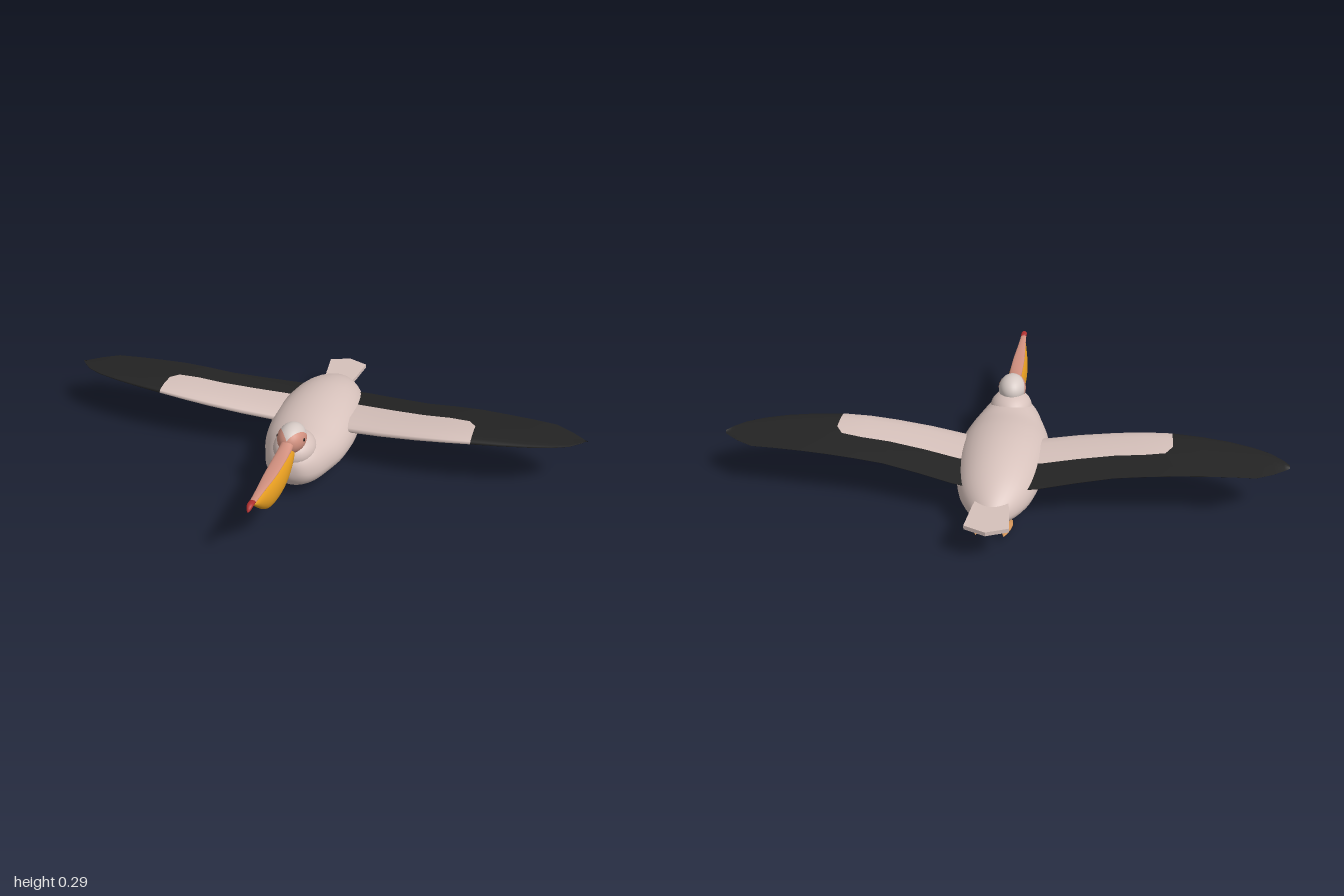
import * as THREE from 'three';

const mat = (name, color, side = THREE.FrontSide) => {
  const m = new THREE.MeshStandardMaterial({ color, side });
  m.name = name;
  return m;
};

function buildGeometry(points, ...indexSets) {
  const g = new THREE.BufferGeometry();
  g.setAttribute('position', new THREE.Float32BufferAttribute(points, 3));
  g.setIndex(indexSets.flat());
  let start = 0;
  indexSets.forEach((set, i) => {
    g.addGroup(start, set.length, i);
    start += set.length;
  });
  g.computeVertexNormals();
  return g;
}

// Smooth loft through rows of [z, bottom, top, halfWidth], running from front to back
function loft(rows, { sides = 24, steps = 24, middle = 0.5 } = {}) {
  const heights = new THREE.CatmullRomCurve3(rows.map(r => new THREE.Vector3(r[0], r[1], r[2])), false, 'catmullrom');
  const widths = new THREE.CatmullRomCurve3(rows.map(r => new THREE.Vector3(r[3], 0, 0)), false, 'catmullrom');
  const points = [], index = [];
  for (let i = 0; i <= steps; i++) {
    const { x: z, y: bottom, z: top } = heights.getPoint(i / steps);
    const w = Math.max(widths.getPoint(i / steps).x, 0.0005);
    const mid = bottom + (top - bottom) * middle;
    for (let j = 0; j < sides; j++) {
      const a = (j / sides) * Math.PI * 2, s = Math.sin(a);
      points.push(w * Math.cos(a), mid + s * (s > 0 ? top - mid : mid - bottom), z);
      if (i === steps) continue;
      const k = (j + 1) % sides, p = i * sides, q = p + sides;
      index.push(p + j, q + j, p + k, p + k, q + j, q + k);
    }
  }
  // end caps
  for (let j = 1; j < sides - 1; j++) {
    const e = steps * sides;
    index.push(0, j, j + 1, e, e + j + 1, e + j);
  }
  return buildGeometry(points, index);
}

// Wing: airfoil sections along x, pale front panel (group 0) and dark feathers (group 1)
function wingGeometry(side) {
  // x, leading z, trailing z, height, thickness
  const stations = [
    [0.05, -0.065, -0.375, 0.146, 0.05], [0.15, -0.06, -0.362, 0.154, 0.048],
    [0.27, -0.045, -0.335, 0.168, 0.045], [0.4, -0.037, -0.31, 0.182, 0.041],
    [0.5, -0.036, -0.305, 0.192, 0.037], [0.6, -0.042, -0.3, 0.199, 0.032],
    [0.7, -0.055, -0.292, 0.201, 0.024], [0.8, -0.075, -0.285, 0.201, 0.016],
    [0.88, -0.1, -0.279, 0.199, 0.011], [0.94, -0.13, -0.247, 0.197, 0.007],
    [0.98, -0.168, -0.217, 0.196, 0.004], [1, -0.195, -0.2, 0.195, 0.001],
  ];
  // chord fraction, relative half thickness
  const upper = [[1, 0.04], [0.8, 0.35], [0.58, 0.7], [0.4, 0.92], [0.2, 1], [0.08, 0.72], [0.02, 0.38]];
  const ring = [...upper, [0, 0], ...upper.map(([f, t]) => [f, -t]).reverse()];
  const n = ring.length, edge = 2, panelEnd = 5;
  const points = [], pale = [], dark = [];
  stations.forEach(([x, lead, trail, y, thick], i) => {
    ring.forEach(([f, t], j) => {
      const corner = i === panelEnd && f === 0.58; // clipped panel corner
      const c = corner ? 0.54 : f;
      points.push(side * (corner ? x - 0.025 : x), y - 0.01 * c + t * thick / 2, lead + (trail - lead) * c);
      if (i === stations.length - 1) return;
      const k = (j + 1) % n, p = i * n, q = p + n;
      const set = i < panelEnd && j >= edge && j < n - 1 - edge ? pale : dark;
      const quad = [p + j, p + k, q + j, p + k, q + k, q + j];
      set.push(...(side > 0 ? quad : quad.reverse()));
    });
  });
  return buildGeometry(points, pale, dark);
}

export function createModel() {
  const group = new THREE.Group();
  const plumage = mat('pale plumage', 0xd6c1bb);
  const crown = mat('crown plumage', 0xd6cac5);
  const black = mat('flight feather black', 0x232323);
  const pink = mat('bill pink', 0xd1907f);
  const yellow = mat('pouch yellow', 0xe49c20);
  const red = mat('bill tip red', 0xb03030);
  const orange = mat('foot orange', 0xd9995c);
  const eyeBlack = mat('eye black', 0x151010);

  const add = (name, geometry, material) => {
    const mesh = new THREE.Mesh(geometry, material);
    mesh.name = name;
    group.add(mesh);
    return mesh;
  };
  const ellipsoid = (name, material, pos, radii) => {
    const mesh = add(name, new THREE.SphereGeometry(1, 28, 20), material);
    mesh.position.set(...pos);
    mesh.scale.set(...radii);
    return mesh;
  };

  // Body and folded neck
  add('body', loft([
    [0.222, 0.115, 0.135, 0.002], [0.213, 0.083, 0.165, 0.045], [0.19, 0.052, 0.19, 0.077],
    [0.15, 0.034, 0.208, 0.105], [0.09, 0.026, 0.212, 0.127], [0.02, 0.024, 0.212, 0.15],
    [-0.08, 0.021, 0.225, 0.163], [-0.18, 0.02, 0.23, 0.16], [-0.28, 0.023, 0.221, 0.146],
    [-0.37, 0.031, 0.197, 0.123], [-0.44, 0.047, 0.165, 0.085], [-0.485, 0.068, 0.133, 0.043],
    [-0.5, 0.094, 0.106, 0.002],
  ], { sides: 36, steps: 60, middle: 0.42 }), plumage);
  ellipsoid('neck', plumage, [0, 0.175, 0.128], [0.078, 0.062, 0.088]);

  // Head, bare face patches and eyes
  const headPos = [0, 0.236, 0.16], headSize = [0.05, 0.052, 0.066];
  ellipsoid('head', crown, headPos, headSize);
  for (const side of [1, -1]) {
    const pole = new THREE.Vector3(side * 0.75, -0.2, 0.64).normalize();
    const cap = new THREE.SphereGeometry(1.03, 28, 10, 0, Math.PI * 2, 0, 1.03);
    cap.applyQuaternion(new THREE.Quaternion().setFromUnitVectors(new THREE.Vector3(0, 1, 0), pole));
    cap.scale(...headSize);
    add('facePatch', cap, pink).position.set(...headPos);
    ellipsoid('eye', eyeBlack, [side * 0.0485, 0.244, 0.176], [0.004, 0.006, 0.006]);
  }

  // Bill with hooked tip and throat pouch
  add('upperBill', loft([
    [0.59, 0.24, 0.25, 0.01], [0.5, 0.234, 0.245, 0.015], [0.4, 0.228, 0.24, 0.022],
    [0.3, 0.225, 0.24, 0.024], [0.24, 0.221, 0.249, 0.024], [0.2, 0.218, 0.264, 0.024],
  ], { sides: 16 }), pink);
  add('billTip', loft([
    [0.62, 0.234, 0.238, 0.002], [0.613, 0.233, 0.248, 0.007],
    [0.598, 0.239, 0.256, 0.011], [0.573, 0.24, 0.252, 0.011],
  ], { sides: 14, steps: 10 }), red);
  add('throatPouch', loft([
    [0.572, 0.232, 0.237, 0.003], [0.55, 0.209, 0.237, 0.012], [0.5, 0.164, 0.236, 0.022],
    [0.45, 0.132, 0.234, 0.03], [0.37, 0.12, 0.232, 0.035], [0.29, 0.132, 0.231, 0.034],
    [0.22, 0.17, 0.229, 0.027], [0.18, 0.195, 0.225, 0.015],
  ], { steps: 30 }), yellow);

  // Wings
  add('leftWing', wingGeometry(1), [plumage, black]);
  add('rightWing', wingGeometry(-1), [plumage, black]);

  // Tail fan
  const fan = new THREE.Shape([
    [-0.055, 0.44], [0.055, 0.44], [0.062, 0.48], [0.075, 0.59], [0, 0.62], [-0.075, 0.59], [-0.062, 0.48],
  ].map(p => new THREE.Vector2(...p)));
  const tail = new THREE.ExtrudeGeometry(fan, { depth: 0.015, bevelEnabled: false });
  tail.rotateX(-Math.PI / 2);
  add('tail', tail, plumage).position.y = 0.124;

  // Feet trailing under the tail
  const footProfile = [[0, 0], [0.017, 0], [0.02, 0.035], [0.017, 0.075], [0.009, 0.12], [0, 0.148]]
    .map(p => new THREE.Vector2(...p));
  for (const side of [1, -1]) {
    const foot = new THREE.LatheGeometry(footProfile, 10);
    foot.scale(1, 1, 0.5);
    foot.rotateX(-Math.PI / 2 + 0.26);
    add('foot', foot, orange).position.set(side * 0.048, 0.0085, -0.372);
  }
  return group;
}
